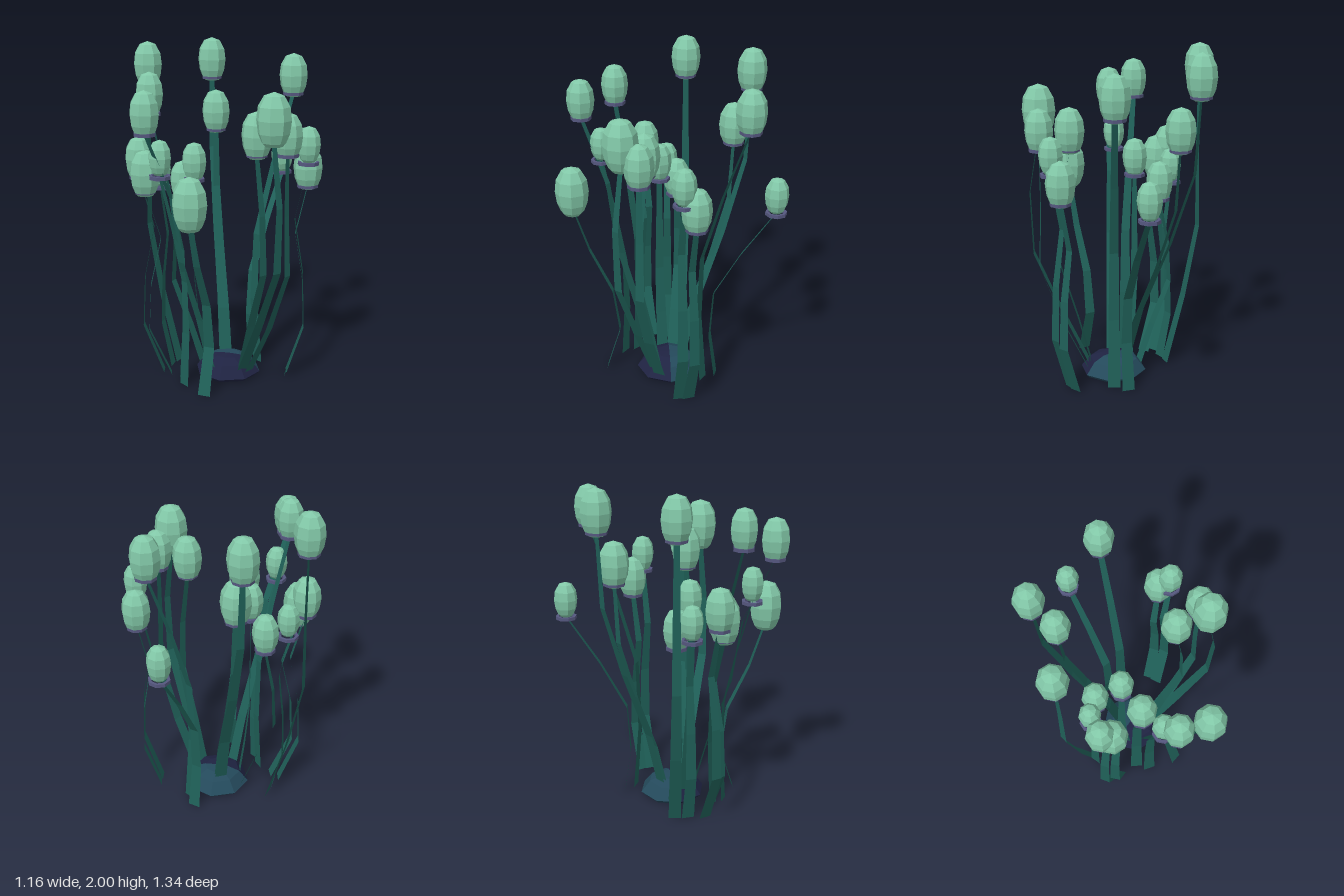
import * as THREE from 'three';

const mat = (name, color, side = THREE.FrontSide) => {
  const m = new THREE.MeshStandardMaterial({ color, side });
  m.name = name;
  return m;
};

// Faceted look: split the vertices so that each face has its own normal
const facet = (geometry) => {
  const g = geometry.index ? geometry.toNonIndexed() : geometry;
  g.computeVertexNormals();
  return g;
};

const lathe = (points, start = 0, sweep = Math.PI * 2, sides = 8) =>
  facet(new THREE.LatheGeometry(points.map(([r, y]) => new THREE.Vector2(r, y)), sides, start, sweep));

// Stems grouped by how they bend. Bend: share of the way from root to tip
// reached at a quarter, half and three quarters of the height.
// Plant: bulb x, z, centre height, radius; root distance as a share of the bulb's
const CLUSTERS = [
  { // dips inward, then leans out
    bend: [-0.12, -0.06, 0.42],
    plants: [
      [0.235, -0.6, 1.26, 0.07, 0.47],
      [0.335, -0.425, 1.79, 0.087, 0.47],
      [-0.25, 0.395, 1.41, 0.066, 0.69],
      [-0.335, 0.305, 1.75, 0.08, 0.63],
    ],
  },
  { // dips deeply, then leans out
    bend: [-0.46, -0.24, 0.49],
    plants: [[-0.025, 0.57, 1.2, 0.1, 0.68]],
  },
  { // leans out steadily
    bend: [0.25, 0.63, 0.94],
    plants: [
      [-0.2, -0.495, 1.865, 0.088, 0.13],
      [-0.145, -0.39, 1.555, 0.088, 0.12],
    ],
  },
  { // leans out, with a last turn to the bulb
    bend: [0.22, 0.5, 0.63],
    plants: [[-0.295, 0.51, 1.67, 0.084, 0.2]],
  },
  { // spreads low, then rises straight
    bend: [0.6, 1.04, 1],
    plants: [
      [-0.495, -0.13, 1.865, 0.088, 0.635],
      [-0.155, 0.05, 1.325, 0.074, 0.67],
      [0.43, 0.185, 1.53, 0.085, 0.33],
    ],
  },
  { // bows outward past the bulb
    bend: [0.7, 1.5, 1.4],
    plants: [
      [-0.26, -0.06, 1.18, 0.08, 0.53],
      [0.245, 0.15, 1.515, 0.09, 0.47],
    ],
  },
  { // bows gently past the bulb
    bend: [0.6, 1.15, 1.2],
    plants: [[0.37, 0.28, 1.63, 0.1, 0.28]],
  },
  { // bows out low, draws back in, then reaches the bulb
    bend: [0.93, 0.83, 0.38],
    plants: [
      [-0.385, -0.007, 1.255, 0.066, 0.84],
      [-0.47, 0.125, 1.34, 0.086, 0.75],
      [-0.42, 0.17, 1.265, 0.092, 0.71],
      [0.49, -0.125, 1.29, 0.087, 0.77],
      [0.505, -0.055, 1.44, 0.07, 0.75],
    ],
  },
];
const CENTRE_X = 0.04; // the stems fan out from the rock
const RING_DROP = 0.11; // from bulb centre down to the stem tip

// Flat tapering ribbon, wide across its direction of growth
function ribbon(x, z, height, rootShare, bend) {
  const dx = x - CENTRE_X, reach = Math.hypot(dx, z);
  const positions = [], index = [];
  [0, ...bend, 1].forEach((t, i) => {
    const out = THREE.MathUtils.lerp(rootShare, 1, t);
    const half = THREE.MathUtils.lerp(0.038, 0.016, i / 4);
    const px = CENTRE_X + dx * out, pz = z * out, y = height * i / 4;
    const sx = -z / reach * half, sz = dx / reach * half;
    positions.push(px - sx, y, pz - sz, px + sx, y, pz + sz);
    if (i < 4) {
      const a = i * 2;
      index.push(a, a + 2, a + 1, a + 1, a + 2, a + 3);
    }
  });
  const g = new THREE.BufferGeometry();
  g.setAttribute('position', new THREE.Float32BufferAttribute(positions, 3));
  g.setIndex(index);
  return facet(g);
}

export function createModel() {
  const model = new THREE.Group();
  model.name = 'bulbPlantCluster';

  const bulbGreen = mat('bulbGreen', 0x82c8a8);
  const stemTeal = mat('stemTeal', 0x1f6058, THREE.DoubleSide);
  const ringPurple = mat('ringPurple', 0x55577f);
  const rockNavy = mat('rockNavy', 0x1f2342);
  const rockBlue = mat('rockBlue', 0x24495b);

  const add = (parent, name, geometry, material) => {
    const mesh = new THREE.Mesh(geometry, material);
    mesh.name = name;
    parent.add(mesh);
    return mesh;
  };

  // Low rock, navy in front and blue behind
  const rock = new THREE.Group();
  rock.name = 'rock';
  rock.position.x = CENTRE_X;
  model.add(rock);
  const rockProfile = [[0, 0], [0.18, 0], [0.2, 0.02], [0.145, 0.088], [0.075, 0.116], [0, 0.12]];
  add(rock, 'rockFront', lathe(rockProfile, -Math.PI / 2, Math.PI, 4), rockNavy);
  add(rock, 'rockBack', lathe(rockProfile, Math.PI / 2, Math.PI, 4), rockBlue);

  // Shared bulb of unit radius and a flat ring at its foot
  const bulbGeometry = lathe([
    [0, -0.98], [0.5, -0.95], [0.69, -0.81], [0.9, -0.48], [1, 0], [0.91, 0.48], [0.58, 0.86], [0, 1],
  ]);
  const ringGeometry = lathe([
    [0.046, -0.01], [0.063, -0.01], [0.063, 0.01], [0.046, 0.01], [0.046, -0.01],
  ]);

  for (const { bend, plants } of CLUSTERS) {
    for (const [x, z, y, r, rootShare] of plants) {
      const plant = new THREE.Group();
      plant.name = 'plant';
      model.add(plant);
      const tipY = y - RING_DROP;
      add(plant, 'stem', ribbon(x, z, tipY, rootShare, bend), stemTeal);
      add(plant, 'ring', ringGeometry, ringPurple).position.set(x, tipY, z);
      const bulb = add(plant, 'bulb', bulbGeometry, bulbGreen);
      bulb.position.set(x, y, z);
      bulb.scale.set(r, r * 1.54, r);
    }
  }
  return model;
}
